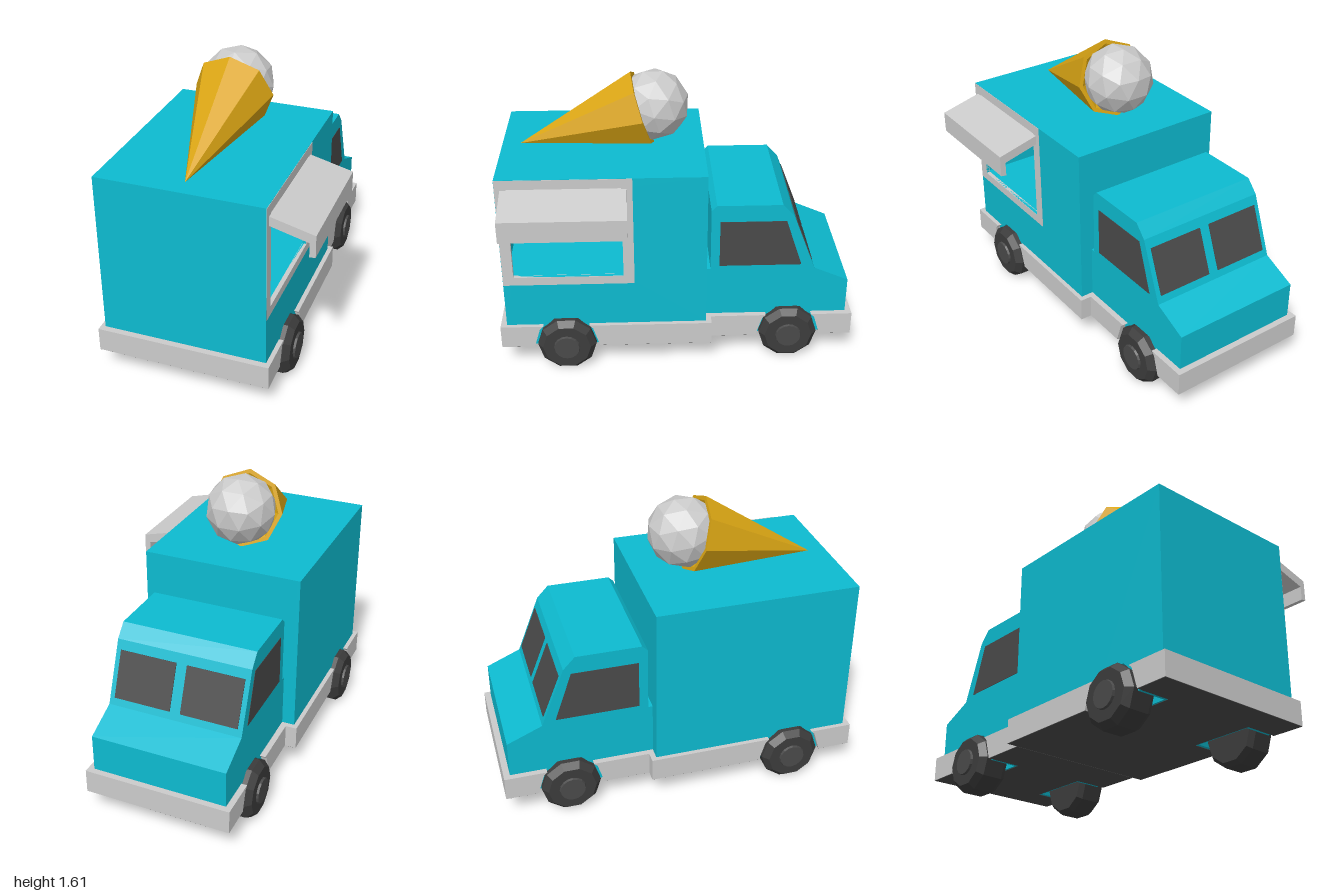
import * as THREE from 'three';

const mat = (color) => new THREE.MeshStandardMaterial({ color, flatShading: true });
const grey = mat(0xcccccc), teal = mat(0x0dbbd0), dark = mat(0x4a4a4a), rubber = mat(0x3c3c3c), wafer = mat(0xdaa514);

// Half outline of a wheel arch, from the front foot over the top to the rear foot
const arch = (z, s = 1) => [[-.185, 0], [-.15, .115], [-.075, .19], [.075, .19], [.15, .115], [.185, 0]]
  .map(([a, b]) => [z + a * s, .145 + b * s]);
// The part of the arch above the chassis, as a notch for body panels
const notch = (z) => [[z - .13, .28], [z - .075, .335], [z + .075, .335], [z + .13, .28]];
const rect = (z0, z1, y0, y1) => [[z0, y0], [z1, y0], [z1, y1], [z0, y1]];

export function createModel() {
  const model = new THREE.Group();
  const truck = new THREE.Group();
  truck.name = 'iceCreamTruck';
  truck.position.x = -.085;
  model.add(truck);

  const add = (name, geometry, material, parent = truck) => {
    const mesh = new THREE.Mesh(geometry, material);
    mesh.name = name;
    parent.add(mesh);
    return mesh;
  };
  // Side outline in (z, y), pulled from x0 to x1
  const slab = (name, points, x0, x1, material, hole) => {
    const shape = new THREE.Shape(points.map(([z, y]) => new THREE.Vector2(z, y)));
    if (hole) shape.holes.push(new THREE.Path(hole.map(([z, y]) => new THREE.Vector2(z, y))));
    const g = new THREE.ExtrudeGeometry(shape, { depth: x1 - x0, bevelEnabled: false });
    g.rotateY(-Math.PI / 2).translate(x1, 0, 0);
    return add(name, g, material);
  };
  // Same slab on the left and right
  const pair = (name, points, x0, x1, material) => {
    slab(name + 'Left', points, x0, x1, material);
    slab(name + 'Right', points, -x1, -x0, material);
  };

  // Chassis, arches and wheels, rear section then cab section
  const sections = [
    { name: 'rear', z0: -.19, z1: 1, axle: .63, half: .455, tyre: .515 },
    { name: 'cab', z0: -1, z1: -.19, axle: -.635, half: .3825, tyre: .445 },
  ];
  for (const { name, z0, z1, axle: a, half, tyre } of sections) {
    const outer = half + (name === 'rear' ? .025 : .033), inner = outer - .2;
    slab(name + 'Chassis', rect(z0, z1, .145, .28), -inner, inner, grey);
    slab(name + 'Underside', rect(z0 + .002, z1 - .002, .143, .147), -inner, inner, dark);
    const sidesOf = [
      [[z0, .145], [a - .185, .145], [a - .15, .26], [a - .13, .28], [z0, .28]],
      [[a + .185, .145], [z1, .145], [z1, .28], [a + .13, .28], [a + .15, .26]],
    ];
    sidesOf.forEach((p, i) => pair(`${name}ChassisSide${i + 1}`, p, inner, outer, grey));
    pair(name + 'UndersideFront', rect(z0 + .002, a - .185, .143, .147), inner, outer - .002, dark);
    pair(name + 'UndersideBack', rect(a + .185, z1 - .002, .143, .147), inner, outer - .002, dark);
    // Arch lining and its inner panel
    pair(name + 'ArchLining', [...arch(a), ...arch(a, .9).reverse()], inner, half, teal);
    pair(name + 'ArchPanel', arch(a, .95), inner, inner + .01, teal);

    for (const side of [1, -1]) {
      const wheel = new THREE.Group();
      wheel.name = name + (side > 0 ? 'WheelLeft' : 'WheelRight');
      wheel.position.set(side * (tyre - .18), .16, a);
      wheel.rotation.y = side > 0 ? 0 : Math.PI;
      truck.add(wheel);
      const profile = [[0, 0], [.145, 0], [.166, .03], [.166, .145], [.135, .18], [0, .18]]
        .map(([r, h]) => new THREE.Vector2(r, h));
      add('tyre', new THREE.LatheGeometry(profile, 10).rotateZ(-Math.PI / 2), rubber, wheel);
      const hub = add('hub', new THREE.CylinderGeometry(.07, .077, .02, 16).rotateZ(-Math.PI / 2), dark, wheel);
      hub.position.x = .182;
    }
  }

  // Hollow box body with a serving hatch on its left side
  const H = .455, top = 1.195, back = .965, front = -.16;
  const wall = [[front, .28], ...notch(.63), [back, .28], [back, top], [front, top]];
  const hatch = rect(.3, .905, .595, 1.14);
  slab('bodyWallRight', wall, -H, -H + .02, teal);
  slab('bodyWallLeft', wall, H - .02, H, teal, hatch);
  slab('bodyBack', rect(back - .02, back, .28, top), -H + .02, H - .02, teal);
  slab('bodyFront', rect(front, front + .02, .28, top), -H + .02, H - .02, teal);
  slab('bodyRoof', rect(front + .02, back - .02, top - .02, top), -H + .02, H - .02, teal);
  slab('bodyFloor', rect(front + .02, back - .02, .56, .58), -H + .02, H - .02, teal);
  slab('hatchFrame', rect(.24, back - .001, .545, top - .001), H - .022, H + .002, grey, hatch);

  // Awning with a hanging lip
  const awning = new THREE.Shape([[.45, 1.137], [.69, 1.075], [.69, .955], [.658, .95], [.658, 1.03], [.45, 1.085]]
    .map(([x, y]) => new THREE.Vector2(x, y)));
  add('awning', new THREE.ExtrudeGeometry(awning, { depth: .665, bevelEnabled: false }).translate(0, 0, .27), grey);

  // Cab with bonnet and sloping windscreen
  const C = .3825;
  slab('cab', [[-.965, .28], ...notch(-.635), [front, .28], [front, .58], [-.185, .58], [-.185, .95],
    [-.215, .98], [-.575, .98], [-.64, .91], [-.77, .575], [-.965, .49]], -C, C, teal);
  pair('sideWindow', [[-.235, .88], [-.6, .88], [-.695, .6], [-.235, .6]], C - .01, C + .002, dark);
  const pane = [[-.759, .615], [-.664, .86], [-.656, .857], [-.751, .612]];
  pair('windscreenPane', pane, .03, .355, dark);

  // Rooftop cone lying on its side, with a scoop
  const cone = new THREE.Group();
  cone.name = 'roofIceCream';
  cone.position.set(0, 1.402, .18);
  cone.rotation.x = 1.862;
  truck.add(cone);
  const coneProfile = [[0, .12], [.195, 0], [.219, 0], [0, .715]].map(([r, h]) => new THREE.Vector2(r, h));
  add('waferCone', new THREE.LatheGeometry(coneProfile, 8), wafer, cone);
  const scoop = add('scoop', new THREE.IcosahedronGeometry(.198, 1), grey, cone);
  scoop.position.y = -.065;

  return model;
}
